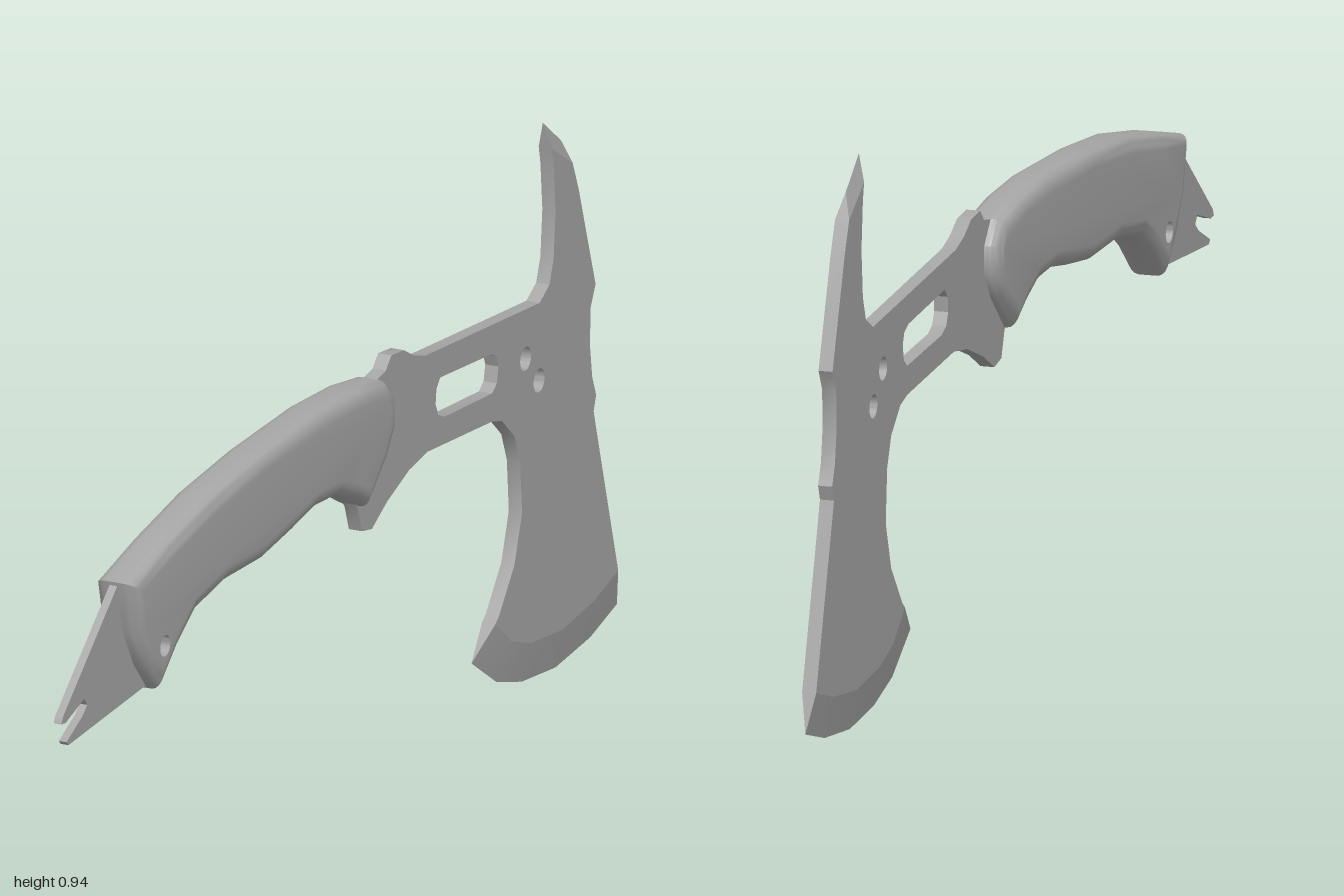
import * as THREE from 'three';
import { mergeGeometries, toCreasedNormals } from 'three/addons/utils/BufferGeometryUtils.js';

const steel = new THREE.MeshStandardMaterial({ color: 0xa6a6a6, side: THREE.DoubleSide });
steel.name = 'grey steel';

const PLATE = 0.012; // half thickness of the steel plate
const GRIP = 0.038; // half width of the grip
const BEVEL = 0.028; // rounding of the grip, seen from the side

// Profiles are [z, y] pairs; depth runs along x after the turn in part().
const vectors = (list) => list.map(([u, v]) => new THREE.Vector2(u, v));

function holeAt(u, v, r) {
  return new THREE.Path().absarc(u, v, r, 0, Math.PI * 2, true);
}

function part(name, geometry, crease = 0.5) {
  geometry.rotateY(-Math.PI / 2);
  const mesh = new THREE.Mesh(toCreasedNormals(geometry, crease), steel);
  mesh.name = name;
  return mesh;
}

function plate(outline, holes, half) {
  const shape = new THREE.Shape(vectors(outline));
  shape.holes.push(...holes);
  const g = new THREE.ExtrudeGeometry(shape, { depth: half * 2, bevelEnabled: false, curveSegments: 8 });
  return g.translate(0, 0, -half);
}

function fromTriangles(positions) {
  const g = new THREE.BufferGeometry();
  g.setAttribute('position', new THREE.Float32BufferAttribute(positions, 3));
  return g;
}

// Ground edge: full thickness along inner, sharp along outer
function groundEdge(inner, outer, half) {
  const p = [];
  const n = inner.length - 1;
  for (const s of [-1, 1]) {
    const tri = (a, b, c) => p.push(...(s > 0 ? [a, b, c] : [a, c, b]).flat());
    for (let i = 0; i < n; i++) {
      const a = [...inner[i], s * half], b = [...inner[i + 1], s * half];
      const c = [...outer[i], 0], d = [...outer[i + 1], 0];
      tri(a, c, d);
      tri(a, d, b);
    }
  }
  p.push(...inner[0], half, ...inner[0], -half, ...outer[0], 0);
  p.push(...inner[n], -half, ...inner[n], half, ...outer[n], 0);
  return fromTriangles(p);
}

// Moves a counter-clockwise outline inwards by d
function inset(points, d) {
  const n = points.length;
  const normal = (a, b) => new THREE.Vector2(a.y - b.y, b.x - a.x).normalize();
  return points.map((p, i) => {
    const n1 = normal(points[(i + n - 1) % n], p);
    const n2 = normal(p, points[(i + 1) % n]);
    return n1.clone().add(n2).multiplyScalar(d / (1 + n1.dot(n2))).add(p);
  });
}

function bare(geometry, flip = false) {
  const g = geometry.index ? geometry.toNonIndexed() : geometry;
  const pos = [...g.attributes.position.array];
  if (flip) {
    for (let i = 0; i < pos.length; i += 9) {
      const b = pos.slice(i + 3, i + 6);
      for (let k = 0; k < 3; k++) {
        pos[i + 3 + k] = pos[i + 6 + k];
        pos[i + 6 + k] = b[k];
      }
    }
  }
  return fromTriangles(pos);
}

function gripGeometry(outline, [hu, hv, hr]) {
  // Rounded rim, lofted from one flat side to the other
  const flat = 0.016, steps = 5, rings = [];
  for (const s of [-1, 1]) {
    for (let k = 0; k <= steps; k++) {
      const a = (Math.PI / 2) * (s < 0 ? 1 - k / steps : k / steps);
      const w = s * (flat + (GRIP - flat) * Math.sin(a));
      rings.push(inset(outline, BEVEL * (1 - Math.cos(a))).map((p) => [p.x, p.y, w]));
    }
  }
  const rim = [], n = outline.length;
  for (let j = 0; j < rings.length - 1; j++) {
    for (let i = 0; i < n; i++) {
      const k = (i + 1) % n;
      const [a, b, c, d] = [rings[j][i], rings[j][k], rings[j + 1][k], rings[j + 1][i]];
      rim.push(...a, ...b, ...c, ...a, ...c, ...d);
    }
  }
  // Flat sides and the wall of the lanyard hole
  const side = new THREE.Shape(inset(outline, BEVEL));
  side.holes.push(holeAt(hu, hv, hr));
  const cap = () => new THREE.ShapeGeometry(side, 8);
  const wall = new THREE.CylinderGeometry(hr, hr, GRIP * 2, 16, 1, true);
  wall.rotateX(Math.PI / 2).translate(hu, hv, 0);
  return mergeGeometries([
    fromTriangles(rim),
    bare(cap().translate(0, 0, GRIP)),
    bare(cap().translate(0, 0, -GRIP), true),
    bare(wall, true),
  ]);
}

export function createModel() {
  const model = new THREE.Group();
  model.name = 'hatchet';

  // Cutting edge and spike tip
  const bladeInner = [[-0.981, 0.105], [-0.895, 0.08], [-0.78, 0.066], [-0.67, 0.078], [-0.6, 0.102], [-0.542, 0.15]];
  const bladeOuter = [[-1, 0.04], [-0.905, 0.013], [-0.78, 0], [-0.66, 0.013], [-0.57, 0.04], [-0.48, 0.1]];
  const tipInner = [[-0.744, 0.9], [-0.818, 0.853]];
  const tipOuter = [[-0.735, 0.945], [-0.8, 0.895]];

  // Neck, spike and axe blade cut from one plate
  const headOutline = [
    [0, 0.68], [-0.12, 0.7], [-0.15, 0.705], [-0.17, 0.725], [-0.215, 0.72], [-0.25, 0.7], [-0.29, 0.687],
    [-0.4, 0.677], [-0.7, 0.65], [-0.735, 0.67], [-0.75, 0.71], [-0.757, 0.79], [-0.75, 0.87],
    ...tipInner,
    [-0.84, 0.8], [-0.87, 0.71], [-0.9, 0.62], [-0.882, 0.585], [-0.88, 0.52], [-0.888, 0.465],
    [-0.902, 0.43], [-0.893, 0.405], [-0.9, 0.38],
    ...bladeInner,
    [-0.555, 0.16], [-0.61, 0.23], [-0.637, 0.31], [-0.63, 0.4], [-0.61, 0.45], [-0.565, 0.49], [-0.53, 0.5],
    [-0.3, 0.52], [-0.235, 0.51], [-0.155, 0.48], [-0.1, 0.45], [-0.065, 0.457], [-0.05, 0.5], [0, 0.56],
  ];
  const slot = new THREE.Path(vectors([
    [-0.345, 0.633], [-0.525, 0.616], [-0.545, 0.607], [-0.553, 0.587], [-0.547, 0.56], [-0.53, 0.548],
    [-0.36, 0.561], [-0.338, 0.571], [-0.328, 0.592], [-0.331, 0.618],
  ]));
  const headHoles = [slot, holeAt(-0.65, 0.57, 0.02), holeAt(-0.698, 0.518, 0.02)];
  model.add(part('head', plate(headOutline, headHoles, PLATE)));
  model.add(part('cuttingEdge', groundEdge(bladeInner, bladeOuter, PLATE), 0.1));
  model.add(part('spikeTip', groundEdge(tipInner, tipOuter, PLATE), 0.1));

  // Grip with a lanyard hole
  const gripOutline = vectors([
    [0.802, 0.638], [0.67, 0.67], [0.51, 0.7], [0.33, 0.716], [0.11, 0.723], [-0.02, 0.716], [-0.118, 0.7],
    [-0.15, 0.662], [-0.15, 0.615], [-0.12, 0.57], [-0.05, 0.505],
    [0, 0.533], [0.06, 0.557], [0.14, 0.562], [0.22, 0.548], [0.33, 0.533], [0.46, 0.537], [0.57, 0.52],
    [0.635, 0.478], [0.695, 0.425], [0.743, 0.48], [0.78, 0.545],
  ]);
  model.add(part('grip', gripGeometry(gripOutline, [0.69, 0.5, 0.018]), 0.7));

  // Notched pry tail
  const tailOutline = [
    [0.8, 0.632], [0.74, 0.6], [0.725, 0.53], [0.7, 0.43], [0.975, 0.414], [0.982, 0.421], [0.925, 0.448],
    [0.908, 0.462], [0.918, 0.476], [0.985, 0.455], [1, 0.457], [0.995, 0.468],
  ];
  model.add(part('tail', plate(tailOutline, [], 0.007)));
  return model;
}
